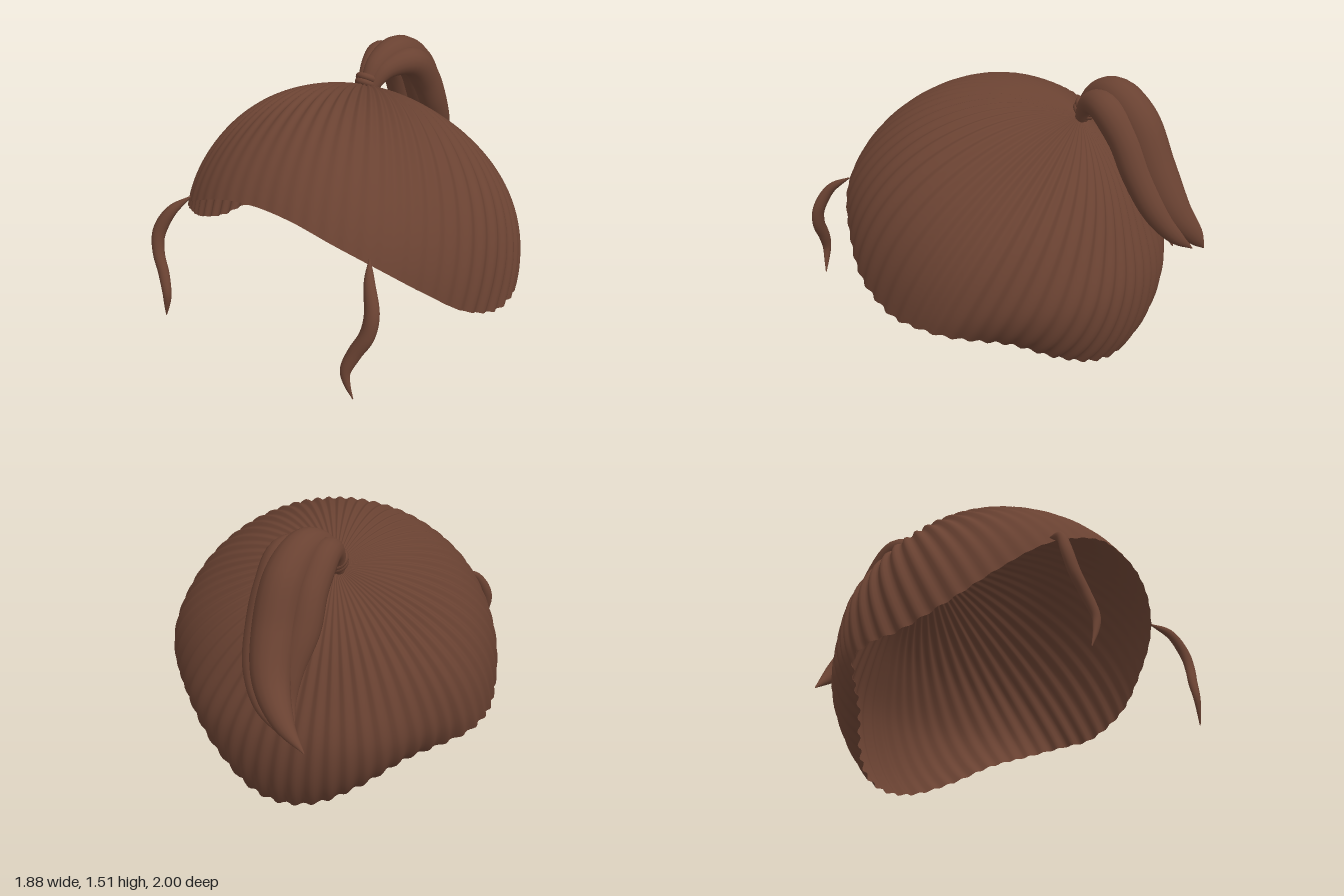
import * as THREE from 'three';

const V = (p) => new THREE.Vector3(...p);
const hair = new THREE.MeshStandardMaterial({ color: 0x6a4232, side: THREE.DoubleSide });
hair.name = 'brown hair';

// Uniform spline through plain numbers, sampled at t in 0..1
function spline(values, closed = false) {
  const c = new THREE.CatmullRomCurve3(values.map((v) => V([v, 0, 0])), closed, 'catmullrom');
  return (t) => c.getPoint(t).x;
}

// Tapered lock of hair: a tube whose rings are rescaled along its length
function lock(name, points, radii, flatZ = 1) {
  const path = new THREE.CatmullRomCurve3(points.map(V));
  const rings = 48, sides = 16, radius = spline(radii);
  const geo = new THREE.TubeGeometry(path, rings, 1, sides);
  const pos = geo.attributes.position, v = new THREE.Vector3();
  for (let i = 0; i <= rings; i++) {
    const c = path.getPointAt(i / rings), r = Math.max(radius(i / rings), 0.002);
    for (let j = 0; j <= sides; j++) {
      const k = i * (sides + 1) + j;
      v.fromBufferAttribute(pos, k).sub(c).multiplyScalar(r);
      v.z *= flatZ;
      v.add(c);
      pos.setXYZ(k, v.x, v.y, v.z);
    }
  }
  const mesh = new THREE.Mesh(geo, hair);
  mesh.name = name;
  return mesh;
}

// Ribbed shell swept from the crown point out to the hairline
function hairCap() {
  const centre = V([0, 0.45, 0.1]);
  // Side profile: radius every 20 degrees, from the front over the top
  const profile = spline([0.9, 0.935, 0.965, 0.969, 0.96, 0.925, 0.873, 0.85, 0.843,
    0.875, 0.885, 0.87, 0.87, 0.87, 0.87, 0.87, 0.87, 0.88], true);
  const surface = (d) => {
    const phi = Math.atan2(d.y, d.z) / (2 * Math.PI);
    const p = 2.3 - 0.3 * Math.max(d.y, 0);
    const a = Math.abs(d.x) / 0.93, b = Math.hypot(d.y, d.z) / profile((phi + 1) % 1);
    return (a ** p + b ** p) ** (-1 / p);
  };
  // Hairline: front centre, left side, back centre, then mirrored
  const half = [[0.2, 1.01, 0.865], [0.4, 0.94, 0.83], [0.6, 0.83, 0.74], [0.75, 0.68, 0.59],
    [0.87, 0.52, 0.4], [0.925, 0.41, 0.15], [0.925, 0.4, 0], [0.88, 0.375, -0.14],
    [0.78, 0.33, -0.23], [0.6, 0.25, -0.35], [0.4, 0.12, -0.51], [0.2, 0.03, -0.62]];
  const mirrored = half.map(([x, y, z]) => [-x, y, z]).reverse();
  const rim = new THREE.CatmullRomCurve3(
    [[0, 1.03, 0.87], ...half, [0, 0, -0.65], ...mirrored].map(V), true);

  const ribs = 60, n = ribs * 6, rows = 36, pos = [], idx = [];
  const crown = V([-0.17, 0.82, -0.38]).normalize();
  const ends = Array.from({ length: n }, (_, j) => rim.getPointAt(j / n).sub(centre));
  for (let i = 0; i <= rows; i++) {
    const t = i / rows;
    for (let j = 0; j < n; j++) {
      const end = ends[j], dir = end.clone().normalize();
      const angle = crown.angleTo(dir);
      const d = crown.clone().multiplyScalar(Math.sin((1 - t) * angle))
        .addScaledVector(dir, Math.sin(t * angle)).normalize();
      const fit = 1 + (end.length() / surface(dir) - 1) * t ** 4;
      // Ribs fade at the crown and towards the forehead
      const depth = 0.009 * Math.min(1, t * 2.5) * (1 - 0.75 * THREE.MathUtils.smoothstep(d.z, 0.1, 0.7));
      const r = surface(d) * fit + depth * Math.cos((j / n) * ribs * 2 * Math.PI);
      pos.push(...d.multiplyScalar(r).add(centre).toArray());
      if (i < rows) {
        const k = (j + 1) % n, a = i * n + j, b = i * n + k;
        idx.push(a, a + n, b + n);
        if (i > 0) idx.push(a, b + n, b);
      }
    }
  }
  const geo = new THREE.BufferGeometry();
  geo.setAttribute('position', new THREE.Float32BufferAttribute(pos, 3));
  geo.setIndex(idx);
  geo.computeVertexNormals();
  const mesh = new THREE.Mesh(geo, hair);
  mesh.name = 'hairCap';
  return mesh;
}

function ponytail() {
  const g = new THREE.Group();
  g.name = 'ponytail';
  g.add(
    lock('middleStrand', [[-0.17, 1.22, -0.27], [-0.15, 1.37, -0.36], [-0.11, 1.42, -0.5], [-0.08, 1.32, -0.65],
      [-0.07, 1.1, -0.76], [-0.1, 0.88, -0.87], [-0.2, 0.72, -0.95], [-0.31, 0.6, -0.97]],
    [0.03, 0.07, 0.1, 0.11, 0.11, 0.095, 0.06, 0.003]),
    lock('rightStrand', [[-0.19, 1.22, -0.27], [-0.2, 1.35, -0.36], [-0.21, 1.4, -0.48], [-0.2, 1.28, -0.62],
      [-0.19, 1.1, -0.71], [-0.16, 0.9, -0.78], [-0.16, 0.75, -0.81], [-0.2, 0.62, -0.84]],
    [0.025, 0.055, 0.075, 0.08, 0.085, 0.065, 0.04, 0.003]),
    lock('leftStrand', [[-0.15, 1.22, -0.27], [-0.09, 1.35, -0.36], [-0.01, 1.38, -0.5], [0.01, 1.25, -0.63],
      [0.02, 1.08, -0.72], [0, 0.9, -0.82], [-0.07, 0.76, -0.9], [-0.2, 0.64, -0.95]],
    [0.025, 0.055, 0.085, 0.085, 0.08, 0.07, 0.045, 0.003]),
  );
  // Two stacked rings tie the base
  const axis = V([0, 0.82, -0.57]).normalize();
  for (const [step, radius] of [[0, 0.045], [0.03, 0.05]]) {
    const ring = new THREE.Mesh(new THREE.TorusGeometry(radius, 0.02, 12, 32), hair);
    ring.name = 'hairTie';
    ring.position.set(-0.175, 1.275, -0.285).addScaledVector(axis, step);
    ring.quaternion.setFromUnitVectors(V([0, 0, 1]), axis);
    g.add(ring);
  }
  return g;
}

export function createModel() {
  const model = new THREE.Group();
  model.name = 'hair';
  model.add(hairCap(), ponytail());
  // Wavy loose locks framing the face
  for (const [name, s] of [['leftFrontLock', 1], ['rightFrontLock', -1]]) {
    model.add(lock(name, [[0.56, 0.885, 0.76], [0.62, 0.82, 0.85], [0.67, 0.7, 0.905], [0.66, 0.6, 0.93],
      [0.61, 0.5, 0.955], [0.575, 0.4, 0.98], [0.585, 0.33, 0.98], [0.61, 0.25, 0.97]]
      .map(([x, y, z]) => [s * x, y, z]),
    [0.004, 0.027, 0.038, 0.039, 0.037, 0.033, 0.022, 0.003], 0.65));
  }
  return model;
}
